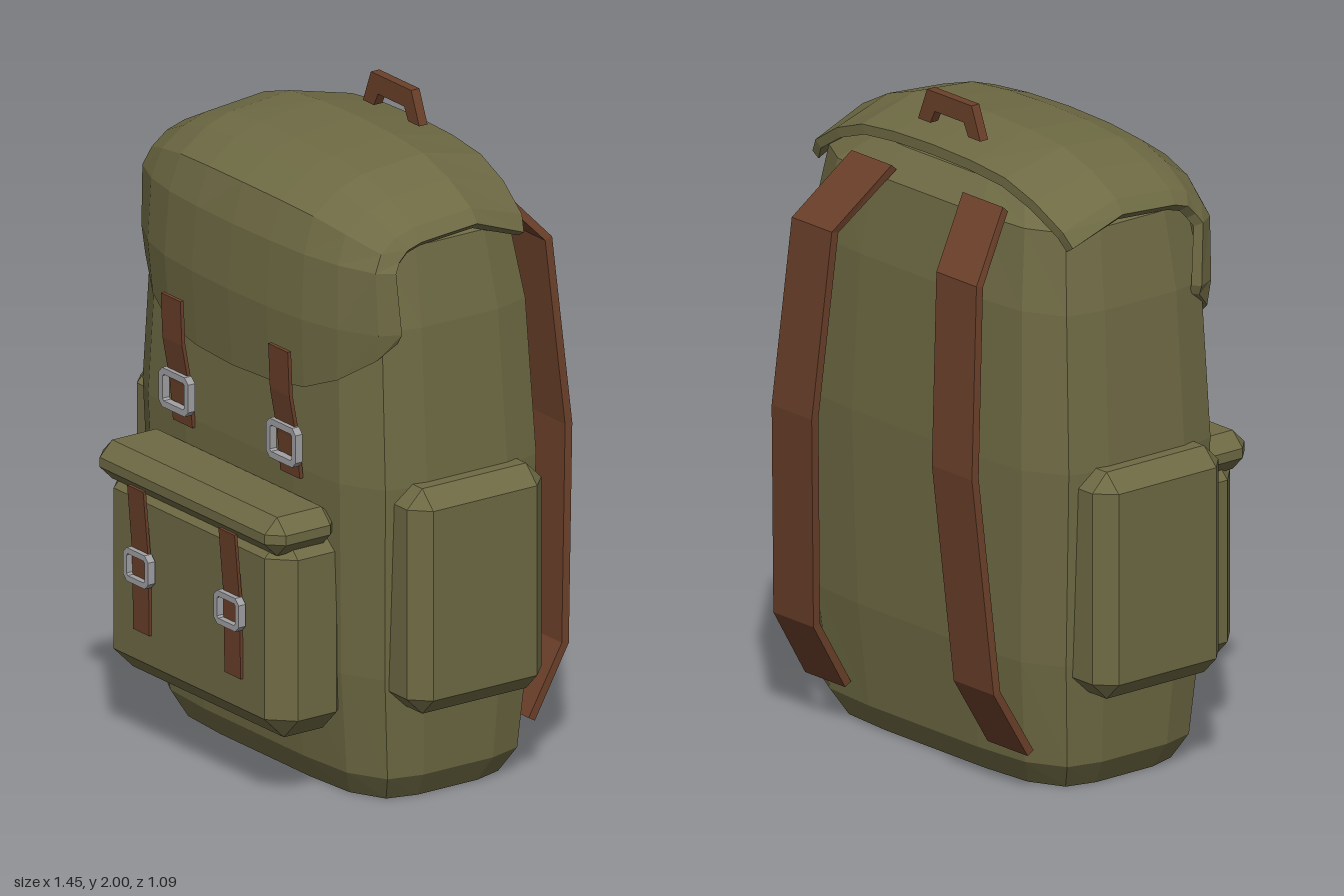
import * as THREE from 'three';
import { ConvexGeometry } from 'three/addons/geometries/ConvexGeometry.js';

const canvas = new THREE.MeshStandardMaterial({ color: 0x6e6a44 });
canvas.name = 'olive canvas';
const leather = new THREE.MeshStandardMaterial({ color: 0x6b402a });
leather.name = 'brown leather';
const metal = new THREE.MeshStandardMaterial({ color: 0xa0a0a3 });
metal.name = 'grey metal';

// Closed flat-shaded solid through rings of equal length; caps join point i with its mirror point.
function loft(rings) {
  const n = rings[0].length;
  const pos = [];
  let volume = 0;
  const tri = (a, b, c) => {
    pos.push([a, b, c]);
    volume += a.dot(new THREE.Vector3().crossVectors(b, c));
  };
  const quad = (a, b, c, d) => { tri(a, b, c); tri(a, c, d); };
  for (let j = 0; j < rings.length - 1; j++) {
    for (let i = 0; i < n; i++) {
      const k = (i + 1) % n;
      quad(rings[j][i], rings[j][k], rings[j + 1][k], rings[j + 1][i]);
    }
  }
  const first = rings[0], last = rings[rings.length - 1];
  for (let i = 0; i < n / 2 - 1; i++) {
    quad(first[n - 1 - i], first[n - 2 - i], first[i + 1], first[i]);
    quad(last[i], last[i + 1], last[n - 2 - i], last[n - 1 - i]);
  }
  const flat = [];
  for (const [a, b, c] of pos) {
    for (const p of volume > 0 ? [a, b, c] : [a, c, b]) flat.push(p.x, p.y, p.z);
  }
  const geo = new THREE.BufferGeometry();
  geo.setAttribute('position', new THREE.Float32BufferAttribute(flat, 3));
  geo.computeVertexNormals();
  return geo;
}

const V = (x, y, z) => new THREE.Vector3(x, y, z);

// Main sack: rounded cross-sections [y, half width, front z, back z]
function bodyGeometry() {
  const corner = [[1, 0.4], [0.95, 0.75], [0.75, 0.95], [0.42, 1]];
  const back = corner.slice().reverse();
  const outline = [
    ...corner,
    ...back.map(([x, z]) => [-x, z]),
    ...corner.map(([x, z]) => [-x, -z]),
    ...back.map(([x, z]) => [x, -z]),
  ];
  const sections = [
    [0, 0.535, 0.24, -0.3], [0.08, 0.585, 0.28, -0.345], [0.4, 0.61, 0.315, -0.378],
    [1.0, 0.635, 0.335, -0.392], [1.48, 0.603, 0.32, -0.37], [1.72, 0.56, 0.29, -0.33],
    [1.8, 0.44, 0.22, -0.25],
  ];
  return loft(sections.map(([y, w, zf, zb]) =>
    outline.map(([x, z]) => V(x * w, y, (zf + zb) / 2 + z * (zf - zb) / 2))));
}

// Draped lid with thickness: rows [centre y, centre z, half width, edge dy, edge dz]
function lidGeometry() {
  const rows = [
    [1.24, 0.36, 0.605, 0.21, -0.16], [1.48, 0.376, 0.62, 0, -0.18],
    [1.68, 0.36, 0.61, -0.01, -0.15], [1.80, 0.32, 0.6, -0.1, -0.13],
    [1.87, 0.22, 0.6, -0.14, -0.06], [1.90, 0.13, 0.6, -0.155, -0.02],
    [1.92, -0.09, 0.6, -0.16, 0], [1.87, -0.31, 0.585, -0.18, 0.04],
  ];
  const across = [[0, 0, 0], [0.3, 0.03, 0.03], [0.55, 0.12, 0.11],
    [0.76, 0.37, 0.3], [0.95, 0.75, 0.65], [1, 1, 1]];
  const arch = [
    ...across.slice(1).reverse().map(([x, y, z]) => [-x, y, z]),
    ...across,
  ];
  return loft(rows.map(([y, z, w, dy, dz]) => {
    const outer = arch.map(([fx, fy, fz]) => V(fx * w, y + fy * dy, z + fz * dz));
    const inner = outer.map(p => {
      const focus = V(p.x * 0.5, Math.min(p.y, 1.5), Math.min(p.z, 0));
      return p.clone().addScaledVector(focus.sub(p).normalize(), 0.032);
    });
    return [...outer, ...inner.reverse()];
  }));
}

// Flat strap following points [x, y, z], with its width along x
function ribbon(path, width, thick) {
  const pts = path.map(p => V(...p));
  return loft(pts.map((p, i) => {
    const a = pts[Math.max(i - 1, 0)], b = pts[Math.min(i + 1, pts.length - 1)];
    const n = V(0, b.z - a.z, a.y - b.y).normalize().multiplyScalar(thick / 2);
    return [[-1, 1], [1, 1], [1, -1], [-1, -1]].map(([s, t]) =>
      V(p.x + s * width / 2, p.y + t * n.y, p.z + t * n.z));
  }));
}

// Box with every edge cut at 45 degrees
function chamferBox(w, h, d, c) {
  const points = [];
  for (const x of [-1, 1]) for (const y of [-1, 1]) for (const z of [-1, 1]) {
    for (let axis = 0; axis < 3; axis++) {
      const half = [w / 2, h / 2, d / 2].map((v, i) => (i === axis ? v : v - c));
      points.push(V(x * half[0], y * half[1], z * half[2]));
    }
  }
  return new ConvexGeometry(points);
}

// Rectangular ring with cut corners
function buckleGeometry(w, h, bar) {
  const outline = (target, a, b, c) => target.setFromPoints([
    [a - c, -b], [a, -b + c], [a, b - c], [a - c, b],
    [-a + c, b], [-a, b - c], [-a, -b + c], [-a + c, -b],
  ].map(p => new THREE.Vector2(...p)));
  const shape = outline(new THREE.Shape(), w / 2, h / 2, 0.018);
  shape.holes.push(outline(new THREE.Path(), w / 2 - bar, h / 2 - bar, 0.006));
  return new THREE.ExtrudeGeometry(shape, { depth: 0.025, bevelEnabled: false });
}

export function createModel() {
  const model = new THREE.Group();
  model.name = 'backpack';
  const add = (name, geo, mat, x = 0, y = 0, z = 0) => {
    const mesh = new THREE.Mesh(geo, mat);
    mesh.name = name;
    mesh.position.set(x, y, z);
    model.add(mesh);
    return mesh;
  };

  add('body', bodyGeometry(), canvas);
  add('lid', lidGeometry(), canvas);

  // Front pocket and its flap
  add('frontPocket', chamferBox(0.89, 0.64, 0.28, 0.07), canvas, 0, 0.53, 0.375);
  add('frontPocketFlap', chamferBox(0.91, 0.12, 0.25, 0.045), canvas, 0, 0.855, 0.415);

  // Carry handle
  const arch = new THREE.Shape([[-0.14, 1.9], [-0.085, 1.9], [-0.065, 1.94], [0.065, 1.94],
    [0.085, 1.9], [0.14, 1.9], [0.1, 2], [-0.1, 2]].map(p => new THREE.Vector2(...p)));
  add('handle', new THREE.ExtrudeGeometry(arch, { depth: 0.03, bevelEnabled: false }),
    leather, 0, 0, -0.245);

  for (const s of [1, -1]) {
    const side = s > 0 ? 'left' : 'right';
    add(side + 'SidePocket', chamferBox(0.2, 0.7, 0.485, 0.055), canvas, s * 0.627, 0.66, -0.027);

    // Shoulder strap
    add(side + 'ShoulderStrap', ribbon([
      [s * 0.25, 1.76, -0.32], [s * 0.325, 1.575, -0.483], [s * 0.36, 1.0, -0.53],
      [s * 0.405, 0.34, -0.485], [s * 0.41, 0.13, -0.36],
    ], 0.18, 0.026), leather);

    // Lid strap with buckle
    add(side + 'LidStrap', ribbon([
      [s * 0.267, 1.378, 0.382], [s * 0.267, 1.24, 0.376], [s * 0.267, 1.1, 0.35],
      [s * 0.267, 0.975, 0.338],
    ], 0.097, 0.012), leather);
    add(side + 'LidBuckle', buckleGeometry(0.148, 0.122, 0.02), metal, s * 0.267, 1.08, 0.353);

    // Pocket strap with buckle
    add(side + 'PocketStrap', ribbon([
      [s * 0.227, 0.828, 0.54], [s * 0.227, 0.62, 0.522], [s * 0.227, 0.375, 0.518],
    ], 0.08, 0.01), leather);
    add(side + 'PocketBuckle', buckleGeometry(0.126, 0.104, 0.018), metal, s * 0.225, 0.58, 0.52);
  }
  return model;
}
